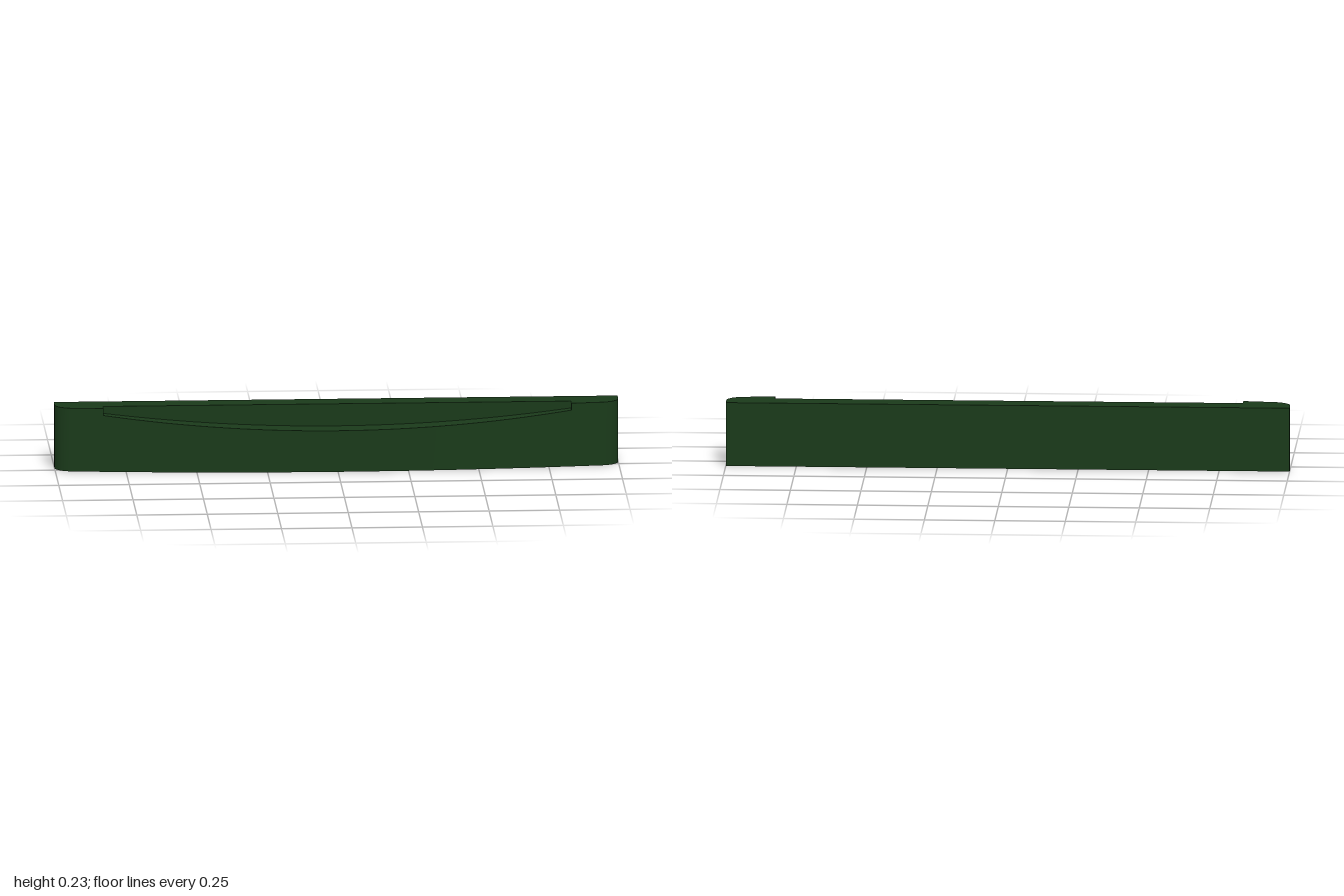
import * as THREE from 'three';
import { toCreasedNormals } from 'three/addons/utils/BufferGeometryUtils.js';

const H = 0.229;         // overall height
const BACK = -0.082;     // flat rear face
const NOTCH = 0.83;      // half length of the recess
const CORNER = 0.93;     // where the rounded ends begin

// Bowed front face
const bow = x => 0.081 - 0.065 * x * x;
// Sagging floor of the recess
const floorAt = x => 0.149 + 0.08 * x * x;

// Cross-section loop (z, y) at a given x
function section(x, front, floorY) {
  const wall = Math.min(0, front);
  return [[BACK, 0], [front, 0], [front, floorY], [wall, floorY], [wall, H], [BACK, H]]
    .map(([z, y]) => new THREE.Vector3(x, y, z));
}

function loft(sections) {
  const pos = [];
  const tri = (a, b, c) => {
    if (new THREE.Triangle(a, b, c).getArea() > 1e-9) {
      for (const p of [a, b, c]) pos.push(p.x, p.y, p.z);
    }
  };
  for (let i = 0; i < sections.length - 1; i++) {
    const s = sections[i], t = sections[i + 1];
    for (let j = 0; j < s.length; j++) {
      const k = (j + 1) % s.length;
      tri(s[j], t[j], t[k]);
      tri(s[j], t[k], s[k]);
    }
  }
  // End caps
  const first = sections[0], last = sections[sections.length - 1];
  for (let j = 1; j < first.length - 1; j++) {
    tri(first[0], first[j], first[j + 1]);
    tri(last[0], last[j + 1], last[j]);
  }
  const g = new THREE.BufferGeometry();
  g.setAttribute('position', new THREE.Float32BufferAttribute(pos, 3));
  return toCreasedNormals(g, 0.5);
}

export function createModel() {
  // One end: from the recess step out to the rounded tip
  const end = [[NOTCH, bow(NOTCH)], [0.88, bow(0.88)]];
  const steps = 10, zc = -0.035;
  for (let i = 0; i <= steps; i++) {
    const a = (Math.PI / 2) * (1 - i / steps);
    end.push([CORNER + (1 - CORNER) * Math.cos(a), zc + (bow(CORNER) - zc) * Math.sin(a)]);
  }

  // Left-to-right run of sections; doubled at the recess ends to form the steps
  const sections = end.map(([x, z]) => section(-x, z, H)).reverse();
  const n = 40;
  for (let i = 0; i <= n; i++) {
    const x = -NOTCH + (2 * NOTCH * i) / n;
    sections.push(section(x, bow(x), floorAt(x)));
  }
  for (const [x, z] of end) sections.push(section(x, z, H));

  const bar = new THREE.Mesh(loft(sections), new THREE.MeshStandardMaterial({ color: 0x1a3a1a }));
  bar.name = 'bowedBar';

  const group = new THREE.Group();
  group.name = 'recessedBar';
  group.add(bar);
  return group;
}
